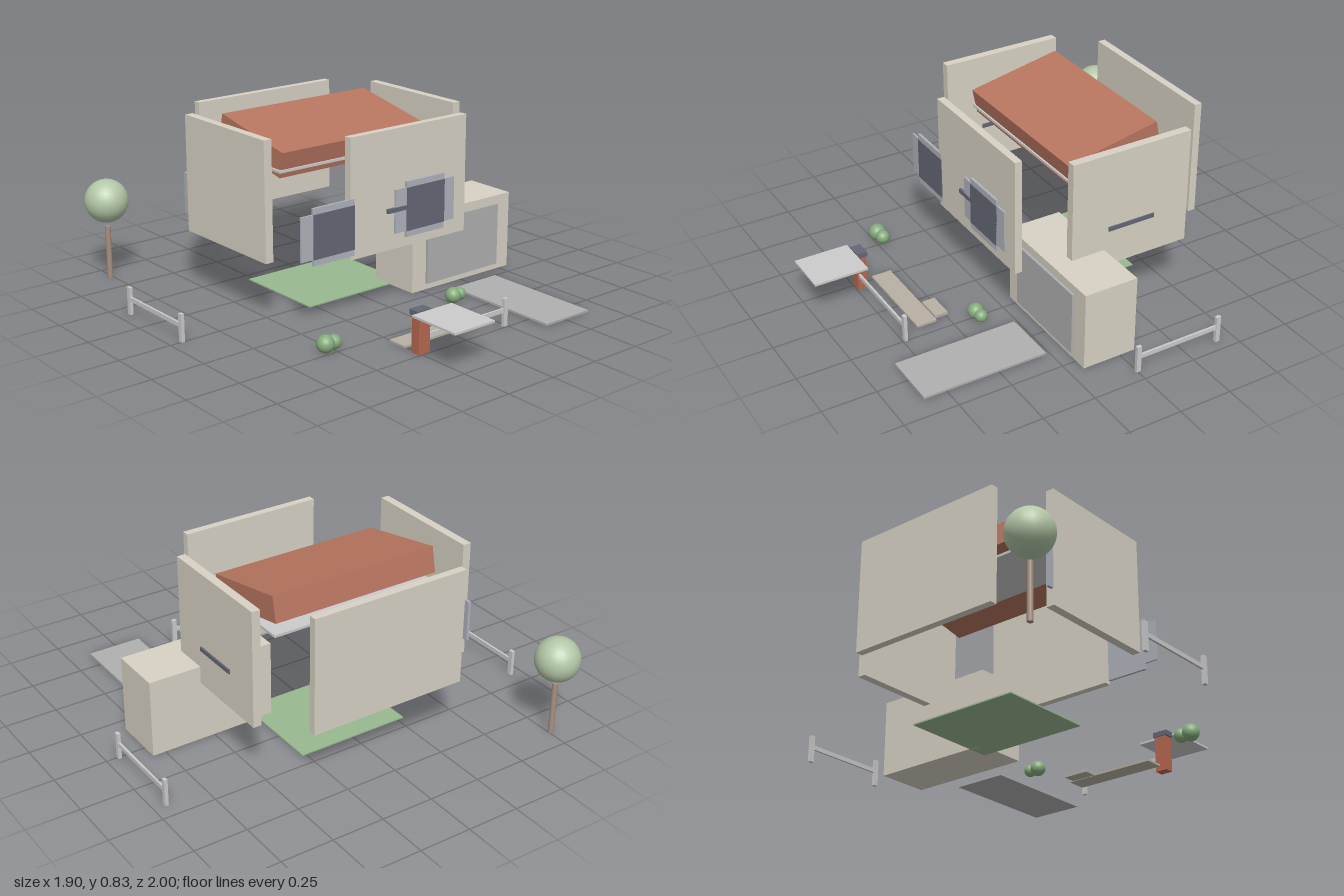
import * as THREE from 'three';

const mat = (color) => new THREE.MeshStandardMaterial({ color });
const M = {
  grey: mat(0xcccccc), wall: mat(0xd8d2c4), roof: mat(0xb87660), dark: mat(0x646875),
  glass: mat(0xb0b3bc), door: mat(0xb0b0b0), lawn: mat(0x98b890), leaf: mat(0x86ac7c),
  crown: mat(0xb4c8a8), trunk: mat(0xa89080), brick: mat(0xb86850), path: mat(0xb8b0a4),
};

export function createModel() {
  const model = new THREE.Group();

  // Box given by its limits on each axis
  const box = (name, m, [x0, x1], [y0, y1], [z0, z1], parent = model) => {
    const mesh = new THREE.Mesh(new THREE.BoxGeometry(x1 - x0, y1 - y0, z1 - z0), m);
    mesh.position.set((x0 + x1) / 2, (y0 + y1) / 2, (z0 + z1) / 2);
    mesh.name = name;
    parent.add(mesh);
    return mesh;
  };
  const ball = (name, m, r, x, y, z) => {
    const mesh = new THREE.Mesh(new THREE.SphereGeometry(r, 24, 16), m);
    mesh.position.set(x, y, z);
    mesh.name = name;
    model.add(mesh);
  };

  // Four separated walls
  const wallY = [0.288, 0.835];
  box('frontWall', M.wall, [-0.255, 0.417], wallY, [0.25, 0.285]);
  box('backWall', M.wall, [-0.386, 0.383], wallY, [-0.693, -0.657]);
  box('rightWall', M.wall, [-0.563, -0.523], wallY, [-0.505, 0.09]);
  box('leftWall', M.wall, [0.52, 0.56], wallY, [-0.505, 0.09]);

  // Dark slots on the walls
  const slotY = [0.46, 0.48];
  box('frontSlot', M.dark, [-0.05, 0.215], slotY, [0.28, 0.297]);
  box('backSlot', M.dark, [-0.155, 0.15], slotY, [-0.66, -0.648]);
  box('rightSlot', M.dark, [-0.53, -0.517], slotY, [-0.327, -0.093]);
  box('leftSlot', M.dark, [0.555, 0.567], slotY, [-0.327, -0.093]);

  // Front windows: a wide panel crossed by a taller one, dark in the middle
  for (const [name, x, y, z] of [['rightWindow', -0.345, 0.435, 0.275], ['leftWindow', 0.168, 0.46, 0.285]]) {
    const g = new THREE.Group();
    g.name = name;
    g.position.set(x, y, z);
    box('shutters', M.glass, [-0.174, 0.174], [-0.1, 0.1], [0, 0.009], g);
    box('frame', M.glass, [-0.112, 0.112], [-0.128, 0.128], [0, 0.012], g);
    box('pane', M.dark, [-0.112, 0.112], [-0.1, 0.1], [0.001, 0.014], g);
    model.add(g);
  }
  box('sideWindow', M.glass, [-0.56, -0.546], [0.365, 0.56], [-0.535, -0.3]);

  // Tilted roof slab through a flat ceiling
  const tilt = Math.atan2(0.09, 0.45);
  const roof = new THREE.Mesh(new THREE.BoxGeometry(0.826, 0.12, 0.459), M.roof);
  roof.name = 'roof';
  roof.rotation.x = tilt;
  roof.position.set(0, 0.726, -0.217);
  model.add(roof);
  box('ceiling', M.grey, [-0.424, 0.42], [0.648, 0.66], [-0.455, 0.012]);

  // Garage
  box('garage', M.wall, [0.197, 0.81], [0, 0.37], [-0.075, 0.182]);
  box('garageDoor', M.door, [0.28, 0.727], [0.03, 0.33], [0.18, 0.194]);

  // Ground pieces
  box('lawn', M.lawn, [-0.28, 0.27], [0, 0.006], [-0.44, 0.027]);
  box('driveway', M.door, [0.38, 0.645], [0, 0.01], [0.268, 0.855]);
  box('path', M.path, [-0.262, 0.192], [0, 0.01], [0.555, 0.65]);
  box('step', M.path, [0.043, 0.17], [0, 0.014], [0.487, 0.55]);

  // Mailbox: brick post, dark cap and flat panel
  box('mailboxPost', M.brick, [-0.265, -0.205], [0, 0.172], [0.698, 0.744]);
  box('mailboxCap', M.dark, [-0.274, -0.2], [0.17, 0.194], [0.693, 0.744]);
  box('mailboxPanel', M.grey, [-0.306, -0.085], [0.179, 0.189], [0.744, 1]);

  // Fences: two posts and a rail
  const fence = (name, length, x, z, turn) => {
    const g = new THREE.Group();
    g.name = name;
    g.position.set(x, 0, z);
    g.rotation.y = turn;
    const h = length / 2;
    for (const s of [-1, 1]) box('post', M.grey, [s * h - 0.011, s * h + 0.011], [0, 0.128], [-0.008, 0.008], g);
    box('rail', M.grey, [-h, h], [0.064, 0.084], [-0.005, 0.005], g);
    model.add(g);
  };
  fence('frontFence', 0.487, -0.002, 0.735, 0);
  for (const s of [-1, 1]) fence('sideFence', 0.413, s * 0.94, -0.21, Math.PI / 2);

  // Tree and bushes
  const trunk = new THREE.Mesh(new THREE.CylinderGeometry(0.013, 0.013, 0.255, 16), M.trunk);
  trunk.name = 'treeTrunk';
  trunk.position.set(-0.76, 0.1275, -0.897);
  model.add(trunk);
  ball('treeCrown', M.crown, 0.103, -0.76, 0.378, -0.897);
  ball('bush', M.leaf, 0.04, -0.548, 0.042, 0.48);
  ball('bush', M.leaf, 0.033, -0.5, 0.038, 0.475);
  ball('bush', M.leaf, 0.036, 0.256, 0.039, 0.393);
  ball('bush', M.leaf, 0.029, 0.299, 0.036, 0.39);

  return model;
}
